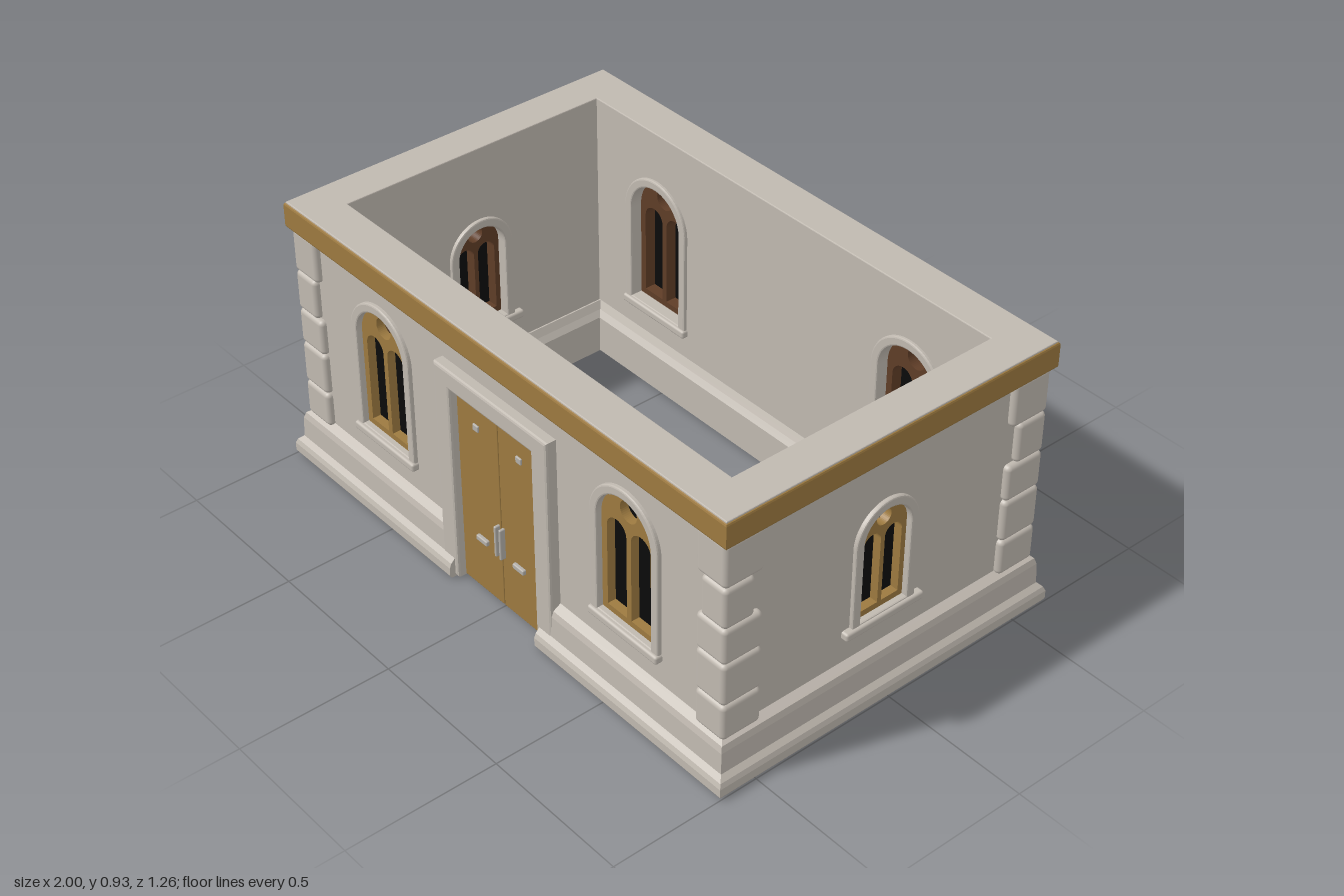
import * as THREE from 'three';
import { RoundedBoxGeometry } from 'three/addons/geometries/RoundedBoxGeometry.js';

const flat = (name, color, side = THREE.FrontSide) => {
  const m = new THREE.MeshStandardMaterial({ color, side });
  m.name = name;
  return m;
};
const stone = flat('stone', 0xc0b9b0);
const ochre = flat('ochreWood', 0x9d7a40);
const brown = flat('brownWood', 0x5f3d27);
const glass = flat('blackGlass', 0x0b0b0b, THREE.DoubleSide);
const metal = flat('metal', 0xb4b0aa);
const shadowStone = flat('darkUnderside', 0x575149);

const HX = 0.945, HZ = 0.575;      // outer wall planes
const THICK_Z = 0.105, THICK_X = 0.1;

function add(parent, name, geometry, material) {
  const mesh = new THREE.Mesh(geometry, material);
  mesh.name = name;
  parent.add(mesh);
  return mesh;
}

// Extrusion filling z0..z1, with an optional softened edge
function slab(shape, z0, z1, bevel = 0) {
  const g = new THREE.ExtrudeGeometry(shape, {
    depth: z1 - z0 - 2 * bevel, curveSegments: 20, bevelEnabled: bevel > 0,
    bevelThickness: bevel, bevelSize: bevel, bevelOffset: -bevel, bevelSegments: 2,
  });
  return g.translate(0, 0, z0 + bevel);
}

function box(parent, name, x0, x1, y0, y1, z0, z1, material, r = 0.005) {
  const g = new RoundedBoxGeometry(x1 - x0, y1 - y0, z1 - z0, 2, r);
  g.translate((x0 + x1) / 2, (y0 + y1) / 2, (z0 + z1) / 2);
  return add(parent, name, g, material);
}

// Round-headed outline
function arch(path, cx, w, y0, spring) {
  path.moveTo(cx - w, y0);
  path.lineTo(cx + w, y0);
  path.lineTo(cx + w, spring);
  path.absarc(cx, spring, w, 0, Math.PI, false);
  return path;
}

const circle = (x, y, r) => new THREE.Path().absarc(x, y, r, 0, Math.PI * 2, true);

function polygon(points) {
  return new THREE.Shape(points.map(([x, y]) => new THREE.Vector2(x, y)));
}

// Traceried window: stone surround and sill, two-light frame, dark panes
function addWindow(wall, { x, w, y0, spring, open }, thick) {
  const g = new THREE.Group();
  g.name = 'window';
  g.position.x = x;
  wall.add(g);

  const surround = arch(new THREE.Shape(), 0, w + 0.03, y0 - 0.028, spring);
  surround.holes.push(arch(new THREE.Path(), 0, w, y0, spring));
  add(g, 'outerSurround', slab(surround, -0.012, 0.014, 0.005), stone);
  add(g, 'innerSurround', slab(surround, -thick - 0.012, -thick + 0.012, 0.005), stone);
  box(g, 'sill', -0.147, 0.147, y0 - 0.032, y0 - 0.004, -0.03, 0.024, stone, 0.008);
  box(g, 'innerSill', -0.147, 0.147, y0 - 0.032, y0 - 0.004, -thick - 0.02, -thick + 0.03, stone, 0.008);

  const eyeY = spring + 0.55 * w, eyeR = 0.31 * w;
  const frame = arch(new THREE.Shape(), 0, w + 0.004, y0 - 0.004, spring);
  for (const s of [-1, 1]) {
    frame.holes.push(arch(new THREE.Path(), s * 0.445 * w, 0.36 * w, y0 + 0.02, spring - 0.3 * w));
  }
  frame.holes.push(circle(0, eyeY, eyeR));
  add(g, 'outerFrame', slab(frame, -0.035, -0.007), ochre);
  add(g, 'innerFrame', slab(frame, -0.075, -0.037), brown);

  const pane = arch(new THREE.Shape(), 0, w * 0.98, y0, spring);
  if (open) pane.holes.push(circle(0, eyeY, eyeR));
  add(g, 'panes', new THREE.ShapeGeometry(pane, 20).translate(0, 0, -0.036), glass);
}

// Profile swept along a wall; z offsets widen the mitred corner ends
function sweep(wall, name, profile, x0, x1, half, material) {
  const g = slab(polygon(profile), 0, 1);
  const p = g.attributes.position;
  for (let i = 0; i < p.count; i++) {
    const out = p.getX(i), y = p.getY(i), t = p.getZ(i);
    const a = x0 <= -half ? x0 - out : x0;
    const b = x1 >= half ? x1 + out : x1;
    p.setXYZ(i, b + (a - b) * t, y, out);
  }
  g.computeVertexNormals();
  add(wall, name, g, material);
}

const plinthProfile = [
  [-0.132, 0], [-0.1, 0], [-0.1, 0.04], [-0.02, 0.04], [-0.02, 0], [0.05, 0.002], [0.056, 0.012],
  [0.056, 0.04], [0.05, 0.055], [0.035, 0.07], [0.032, 0.14], [0.026, 0.16], [0, 0.175], [-0.105, 0.175],
  [-0.118, 0.15], [-0.132, 0.13],
];
const grooveProfile = [[-0.1, 0.034], [-0.02, 0.034], [-0.02, 0.039], [-0.1, 0.039]];

// One wall in its own frame: x along, z outward, origin on the outer plane
function makeWall(name, half, panelHalf, thick, windows, hasDoor) {
  const wall = new THREE.Group();
  wall.name = name;
  const a = panelHalf, b = 0.05, t = 0.918;
  const notch = hasDoor ? [[-0.185, b], [-0.185, 0.69], [0.185, 0.69], [0.185, b]] : [];
  const shape = polygon([[-a, b], ...notch, [a, b], [a, t], [-a, t]]);
  for (const o of windows) shape.holes.push(arch(new THREE.Path(), o.x, o.w, o.y0, o.spring));
  add(wall, 'wallPanel', slab(shape, -thick, 0), stone);
  for (const o of windows) addWindow(wall, o, thick);
  const runs = hasDoor ? [[-half, -0.2], [0.2, half]] : [[-half, half]];
  for (const [x0, x1] of runs) {
    sweep(wall, 'plinth', plinthProfile, x0, x1, half, stone);
    sweep(wall, 'plinthUnderside', grooveProfile, x0, x1, half, shadowStone);
  }
  return wall;
}

// Double door: ochre outside, panelled brown inside, in a stone frame
function addDoor(wall) {
  const door = new THREE.Group();
  door.name = 'door';
  wall.add(door);
  const frame = polygon([[-0.255, 0.004], [-0.185, 0.004], [-0.185, 0.69], [0.185, 0.69],
    [0.185, 0.004], [0.255, 0.004], [0.255, 0.755], [-0.255, 0.755]]);
  add(door, 'doorFrame', slab(frame, -0.128, 0.036, 0.008), stone);
  for (const s of [-1, 1]) {
    const part = (name, x0, x1, y0, y1, z0, z1, m, r) =>
      box(door, name, Math.min(s * x0, s * x1), Math.max(s * x0, s * x1), y0, y1, z0, z1, m, r);
    part('outerLeaf', 0.001, 0.187, 0.006, 0.692, -0.03, 0.008, ochre, 0.003);
    part('innerLeaf', 0.001, 0.187, 0.006, 0.692, -0.085, -0.031, brown, 0.003);
    for (const [y0, y1] of [[0.05, 0.17], [0.23, 0.45], [0.49, 0.65]]) {
      part('innerPanel', 0.03, 0.16, y0, y1, -0.095, -0.08, brown, 0.005);
    }
    part('handle', 0.006, 0.016, 0.19, 0.3, 0.004, 0.026, metal, 0.004);
    part('bar', 0.06, 0.11, 0.19, 0.208, 0.006, 0.02, metal, 0.004);
    part('stud', 0.085, 0.11, 0.585, 0.607, 0.006, 0.014, metal, 0.003);
  }
}

// Rectangular ring lying flat
function ring(parent, name, ox, oz, ix, iz, y0, y1, bevel, material) {
  const rect = (x, z) => [[-x, -z], [x, -z], [x, z], [-x, z]];
  const shape = polygon(rect(ox, oz));
  shape.holes.push(polygon(rect(ix, iz)));
  add(parent, name, slab(shape, y0, y1, bevel).rotateX(-Math.PI / 2), material);
}

export function createModel() {
  const model = new THREE.Group();
  model.name = 'stoneBuilding';

  const tall = (x, open) => ({ x, w: 0.113, y0: 0.287, spring: 0.62, open });
  const small = { x: 0, w: 0.088, y0: 0.292, spring: 0.562, open: false };

  const front = makeWall('frontWall', HX, HX, THICK_Z, [tall(-0.555, true), tall(0.55, false)], true);
  front.position.z = HZ;
  addDoor(front);
  const back = makeWall('backWall', HX, HX, THICK_Z, [tall(-0.55, false), tall(0.555, true)], false);
  back.position.z = -HZ;
  back.rotation.y = Math.PI;
  model.add(front, back);

  for (const s of [-1, 1]) {
    const side = makeWall(s > 0 ? 'leftWall' : 'rightWall', HZ, HZ - THICK_Z, THICK_X, [small], false);
    side.position.x = s * HX;
    side.rotation.y = s * Math.PI / 2;
    model.add(side);
  }

  // Rounded corner stones, alternating long and short
  const rows = [0.165, 0.288, 0.432, 0.555, 0.692, 0.842];
  for (const sx of [-1, 1]) for (const sz of [-1, 1]) {
    for (let i = 0; i < 5; i++) {
      const long = i % 2 === 0 || i === 1;
      const w = long ? 0.118 : 0.1, d = long ? 0.138 : 0.108, h = rows[i + 1] - rows[i];
      const block = add(model, 'cornerStone', new RoundedBoxGeometry(w, h, d, 3, 0.016), stone);
      block.position.set(sx * (0.967 - w / 2), rows[i] + h / 2, sz * (0.595 - d / 2));
    }
  }

  // Coloured cornice with a stone coping on top
  ring(model, 'cornice', 0.978, 0.606, 0.93, 0.56, 0.84, 0.925, 0.007, ochre);
  ring(model, 'coping', 0.973, 0.601, 0.845, 0.47, 0.912, 0.929, 0.003, stone);
  return model;
}
